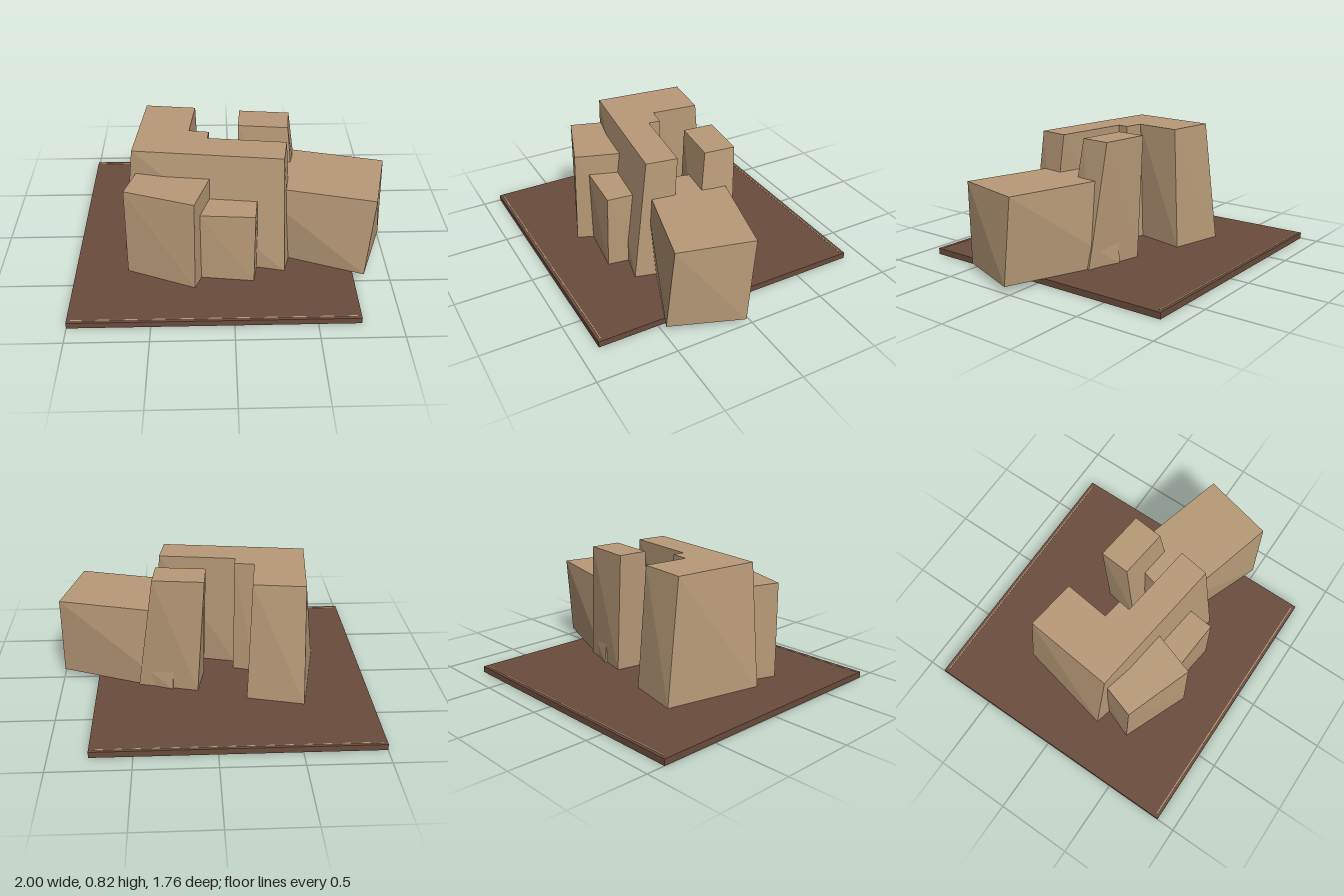
import * as THREE from 'three';

const BASE_TOP = 0.04;

// Prism with a given roof outline [x, z]; its foot is the outline scaled,
// twisted (degrees) and shifted about a pivot.
function twistedBlock(name, material, roof, roofY, pivot, scale, twist, shift = [0, 0]) {
  const shape = new THREE.Shape(roof.map(([x, z]) => new THREE.Vector2(x, -z)));
  const height = roofY - BASE_TOP;
  const geometry = new THREE.ExtrudeGeometry(shape, { depth: height, bevelEnabled: false });
  geometry.rotateX(-Math.PI / 2);
  const a = THREE.MathUtils.degToRad(twist);
  const c = scale * Math.cos(a), s = scale * Math.sin(a);
  const p = geometry.attributes.position;
  for (let i = 0; i < p.count; i++) {
    if (p.getY(i) > height / 2) continue;
    const dx = p.getX(i) - pivot[0], dz = p.getZ(i) - pivot[1];
    p.setX(i, pivot[0] + shift[0] + c * dx - s * dz);
    p.setZ(i, pivot[1] + shift[1] + s * dx + c * dz);
  }
  geometry.translate(0, BASE_TOP, 0);
  geometry.computeVertexNormals();
  const mesh = new THREE.Mesh(geometry, material);
  mesh.name = name;
  return mesh;
}

export function createModel() {
  const group = new THREE.Group();
  group.name = 'massingModel';
  const card = new THREE.MeshStandardMaterial({ color: 0xb89a78 });
  card.name = 'tan card';
  const wood = new THREE.MeshStandardMaterial({ color: 0x6a4c3b });
  wood.name = 'dark wood';

  // Base board
  const base = new THREE.Mesh(new THREE.BoxGeometry(1.76, BASE_TOP, 1.76), wood);
  base.name = 'baseBoard';
  base.position.set(-0.12, BASE_TOP / 2, 0);
  group.add(base);

  // Thin inlaid lines near the front and back edges
  for (const side of [-1, 1]) {
    const line = new THREE.Mesh(new THREE.BoxGeometry(1.71, 0.002, 0.006), card);
    line.name = side > 0 ? 'frontInlay' : 'backInlay';
    line.position.set(-0.12, BASE_TOP + 0.001, side * 0.858);
    group.add(line);
  }

  // Stepped L-shaped main building
  group.add(twistedBlock('mainBuilding', card, [
    [-0.55, -0.35], [-0.61, 0.22], [0.31, 0.335], [0.34, 0.14],
    [-0.15, 0.08], [-0.14, 0.005], [-0.265, -0.015], [-0.23, -0.31],
  ], 0.82, [-0.14, -0.01], 1.1416, 6));

  // Tower behind
  group.add(twistedBlock('backTower', card, [
    [0.06, -0.265], [0.045, -0.07], [0.36, -0.035], [0.38, -0.23],
  ], 0.82, [0.21, -0.15], 1.22, 7, [0.06, 0.05]));

  // Large wing overhanging the board
  group.add(twistedBlock('overhangingWing', card, [
    [0.23, -0.205], [0.115, 0.255], [0.87, 0.45], [0.985, -0.01],
  ], 0.58, [0.55, 0.123], 1, 6.5));

  // Two low blocks against the front wall
  group.add(twistedBlock('frontRightBlock', card, [
    [-0.55, 0.09], [-0.655, 0.42], [-0.23, 0.57], [-0.12, 0.24],
  ], 0.66, [-0.39, 0.33], 1.03, 3));
  group.add(twistedBlock('frontMiddleBlock', card, [
    [-0.175, 0.195], [-0.205, 0.49], [0.135, 0.515], [0.165, 0.22],
  ], 0.525, [-0.02, 0.355], 1.03, 3));

  return group;
}
